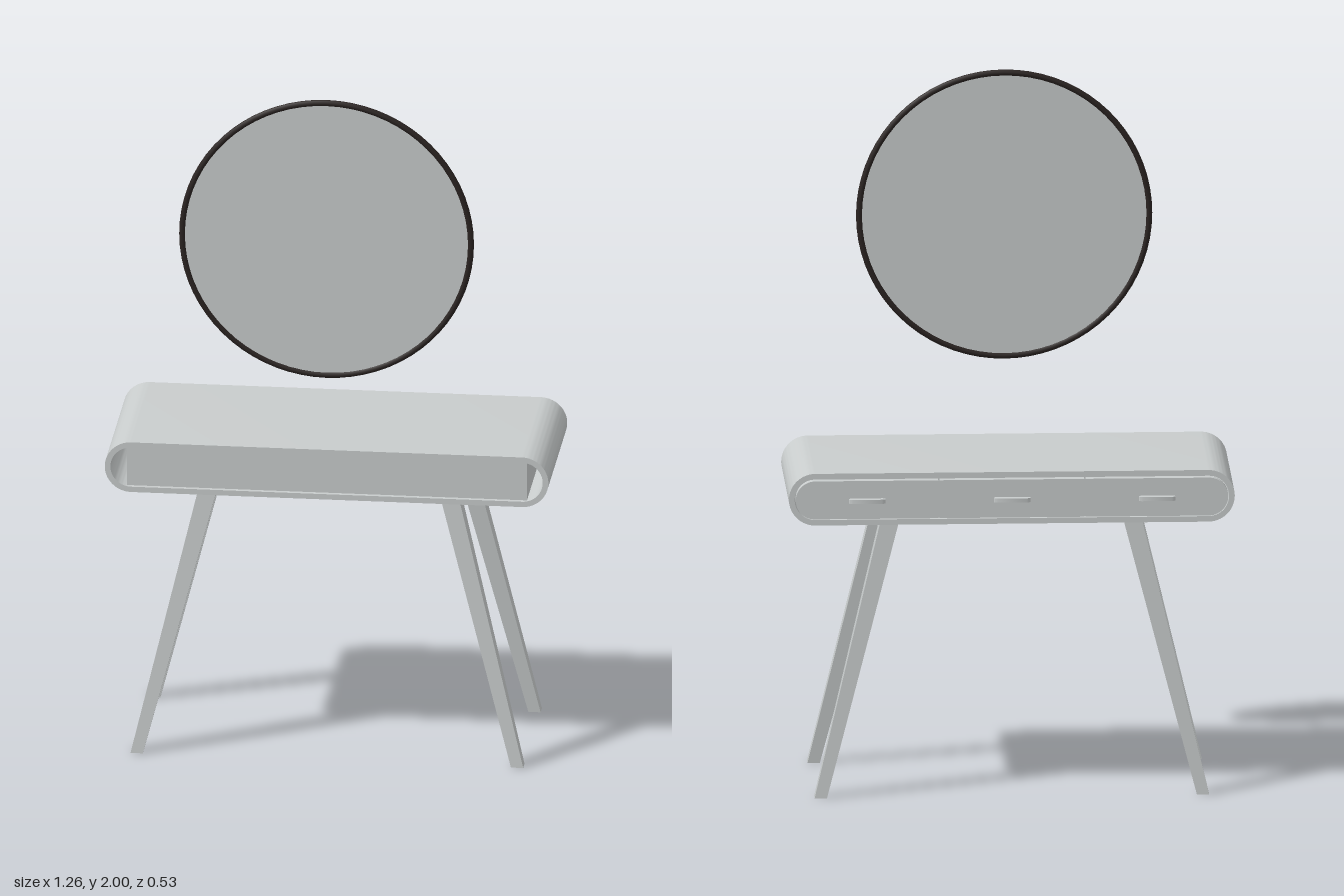
import * as THREE from 'three';
import { toCreasedNormals } from 'three/addons/utils/BufferGeometryUtils.js';

const MID = 0.867; // height of the cabinet's centre line

// Outline with straight top and bottom; either end may be round
function capsule(x0, x1, h, roundLeft = true, roundRight = true) {
  const s = new THREE.Shape();
  const r = h / 2;
  if (roundLeft) s.absarc(x0 + r, 0, r, Math.PI / 2, Math.PI * 1.5, false);
  else { s.moveTo(x0, r); s.lineTo(x0, -r); }
  if (roundRight) s.absarc(x1 - r, 0, r, -Math.PI / 2, Math.PI / 2, false);
  else { s.lineTo(x1, -r); s.lineTo(x1, r); }
  s.closePath();
  return s;
}

function extrude(shape, z0, z1) {
  const g = new THREE.ExtrudeGeometry(shape, { depth: z1 - z0, bevelEnabled: false, curveSegments: 20 });
  g.translate(0, MID, z0);
  return toCreasedNormals(g, 0.6);
}

// Square leg that tapers and leans from top to foot
function legGeometry(top, foot, topSize, footSize) {
  const g = new THREE.BoxGeometry(1, 1, 1);
  const p = g.attributes.position;
  for (let i = 0; i < p.count; i++) {
    const up = p.getY(i) > 0;
    const c = up ? top : foot;
    const size = up ? topSize : footSize;
    p.setXYZ(i, c.x + p.getX(i) * size, c.y, c.z + p.getZ(i) * size);
  }
  const flat = g.toNonIndexed();
  flat.computeVertexNormals();
  return flat;
}

export function createModel() {
  const model = new THREE.Group();
  model.name = 'dressingTable';
  const paleGrey = new THREE.MeshStandardMaterial({ color: 0xc8cccc });
  paleGrey.name = 'paleGrey';
  const darkFrame = new THREE.MeshStandardMaterial({ color: 0x2a2321 });
  darkFrame.name = 'darkFrame';

  function add(name, geometry, material = paleGrey, parent = model) {
    const m = new THREE.Mesh(geometry, material);
    m.name = name;
    parent.add(m);
    return m;
  }

  // Hollow round-ended cabinet shell
  const shell = capsule(-0.632, 0.632, 0.15);
  shell.holes.push(capsule(-0.616, 0.616, 0.118));
  add('cabinetShell', extrude(shell, -0.235, 0.255));

  // Drawer body filling the middle of the shell
  add('drawerBody', new THREE.BoxGeometry(1.14, 0.116, 0.465)).position.set(0, MID, 0.0125);

  // Three drawer fronts with bar pulls
  const fronts = [[-0.613, -0.209, true, false], [-0.205, 0.205, false, false], [0.209, 0.613, false, true]];
  fronts.forEach(([x0, x1, roundLeft, roundRight], i) => {
    const drawer = new THREE.Group();
    drawer.name = 'drawer' + (i + 1);
    model.add(drawer);
    add('drawerFront', extrude(capsule(x0, x1, 0.11, roundLeft, roundRight), -0.244, -0.22), paleGrey, drawer);
    const x = (i - 1) * 0.411;
    add('pullStem', new THREE.BoxGeometry(0.076, 0.008, 0.012), paleGrey, drawer).position.set(x, MID, -0.248);
    const bar = new THREE.ExtrudeGeometry(capsule(-0.052, 0.052, 0.019), { depth: 0.012, bevelEnabled: false, curveSegments: 8 });
    bar.rotateX(Math.PI / 2);
    add('pullBar', toCreasedNormals(bar, 0.6), paleGrey, drawer).position.set(x, MID + 0.006, -0.26);
  });

  // Four splayed legs
  for (const sx of [-1, 1]) {
    for (const sz of [-1, 1]) {
      const top = new THREE.Vector3(sx * 0.343, 0.797, sz * 0.168 + 0.004);
      const foot = new THREE.Vector3(sx * 0.542, 0, sz * 0.226 + 0.004);
      add('leg', legGeometry(top, foot, 0.053, 0.035));
    }
  }

  // Round mirror hanging above the table
  const mirror = new THREE.Group();
  mirror.name = 'mirror';
  mirror.position.set(0, 1.58, 0.254);
  model.add(mirror);
  const glass = new THREE.CylinderGeometry(0.41, 0.41, 0.008, 64);
  glass.rotateX(Math.PI / 2);
  add('mirrorGlass', glass, paleGrey, mirror);
  add('mirrorFrame', new THREE.TorusGeometry(0.411, 0.009, 10, 72), darkFrame, mirror);

  return model;
}
